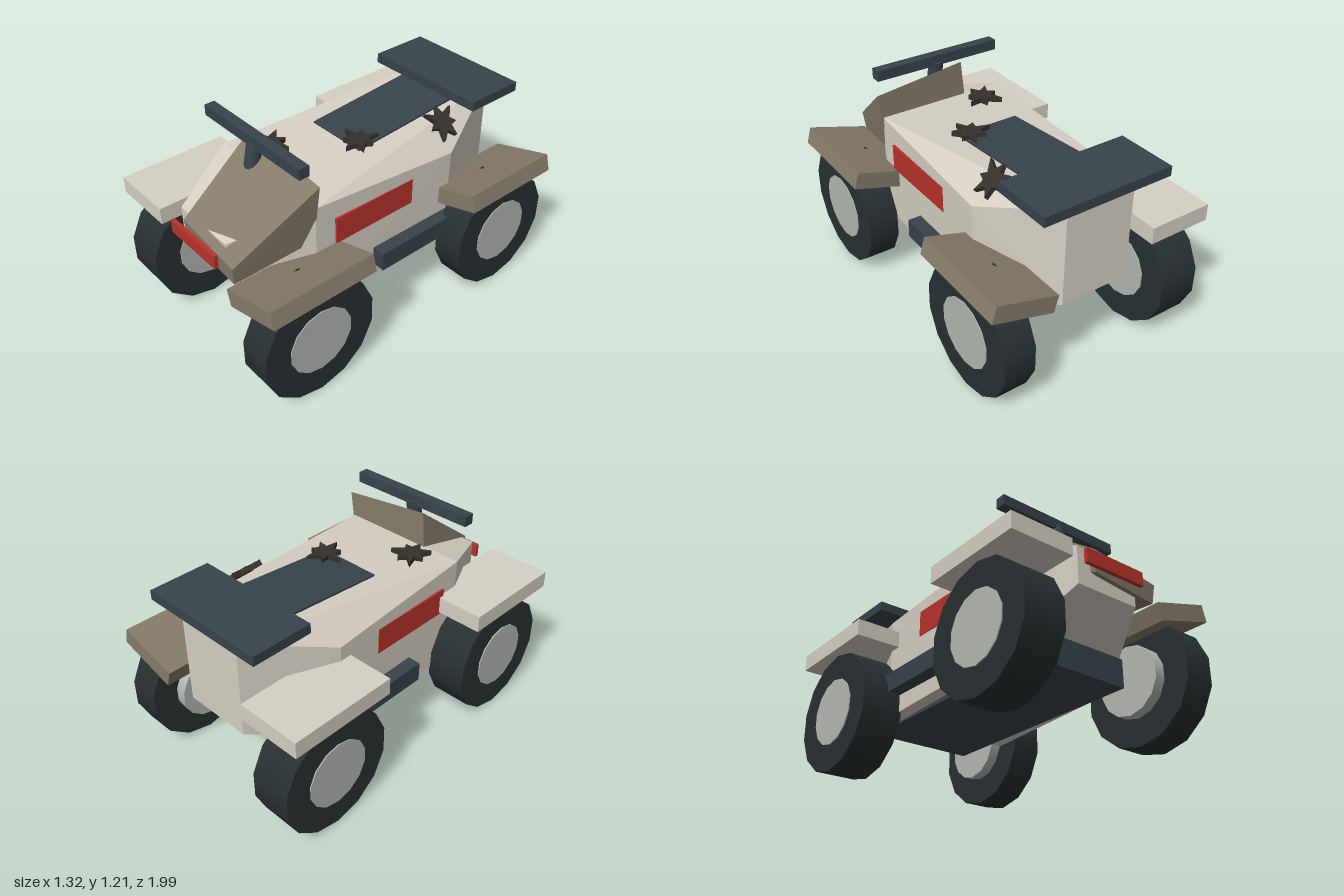
import * as THREE from 'three';
import { ConvexGeometry } from 'three/addons/geometries/ConvexGeometry.js';

const mat = (color) => new THREE.MeshStandardMaterial({ color, flatShading: true });
const pale = mat(0xd6d0c4);
const brown = mat(0x857b6a);
const dark = mat(0x37434a);
const red = mat(0xb8322c);
const soot = mat(0x35322c);
const rubber = new THREE.MeshStandardMaterial({ color: 0x283032 });
const steel = new THREE.MeshStandardMaterial({ color: 0xb4b8b2 });
const post = new THREE.MeshStandardMaterial({ color: 0x37434a });

export function createModel() {
  const model = new THREE.Group();
  model.name = 'quadBuggy';

  const add = (name, geometry, material, x = 0, y = 0, z = 0) => {
    const mesh = new THREE.Mesh(geometry, material);
    mesh.name = name;
    mesh.position.set(x, y, z);
    model.add(mesh);
    return mesh;
  };
  // Box given by its lower and upper limits on each axis
  const box = (name, material, [x0, x1], [y0, y1], [z0, z1]) =>
    add(name, new THREE.BoxGeometry(x1 - x0, y1 - y0, z1 - z0), material,
      (x0 + x1) / 2, (y0 + y1) / 2, (z0 + z1) / 2);
  const hull = (name, material, points) =>
    add(name, new ConvexGeometry(points.map((p) => new THREE.Vector3(...p))), material);

  // Faceted body, mirrored from one side
  const half = [
    [0.2, 0.49, -0.9], [0.2, 1.04, -0.9],
    [0.39, 0.29, -0.42], [0.4, 0.87, -0.42],
    [0.38, 0.325, 0.5], [0.38, 0.94, 0.5],
    [0.193, 0.61, 0.9], [0.193, 0.82, 0.9],
  ];
  hull('body', pale, half.flatMap(([x, y, z]) => [[x, y, z], [-x, y, z]]));
  box('underbody', dark, [-0.31, 0.31], [0.28, 0.44], [-0.68, 0.68]);

  // Hood knocked askew over the nose
  hull('hood', brown, [
    [-0.13, 1.145, 0.495], [0.41, 1.08, 0.495], [-0.158, 0.86, 0.495], [0.36, 0.73, 0.495],
    [-0.11, 0.81, 0.94], [0.3, 0.755, 0.94], [-0.105, 0.69, 0.93], [0.288, 0.65, 0.93],
  ]);
  box('frontLight', red, [-0.193, 0.187], [0.698, 0.776], [0.945, 0.967]);

  // Handlebar on a leaning post
  box('handlebar', dark, [-0.39, 0.38], [1.145, 1.205], [0.53, 0.59]);
  add('steeringPost', new THREE.CylinderGeometry(0.042, 0.042, 0.28, 12), post, -0.005, 1.03, 0.585)
    .rotation.x = -0.2;

  // Seat and rear deck
  add('seat', new THREE.BoxGeometry(0.37, 0.05, 0.82), dark, -0.005, 0.988, -0.365).rotation.x = 0.08;
  box('rearDeck', dark, [-0.382, 0.37], [1.043, 1.097], [-0.95, -0.6]);

  // Side panels and footrests
  for (const side of [-1, 1]) {
    add('sidePanel', new THREE.BoxGeometry(0.03, 0.15, 0.52), red, side * 0.381, 0.75, 0.12);
    add('footrest', new THREE.BoxGeometry(0.12, 0.11, 0.62), dark, side * 0.405, 0.445, -0.19);
  }

  // Wheels and fenders: the +x tires are narrower and its fenders bent up
  const drum = (name, material, r, x0, x1, z) => {
    const geo = new THREE.CylinderGeometry(r, r, x1 - x0, 14, 1, false, Math.PI / 2);
    add(name, geo.rotateZ(Math.PI / 2), material, (x0 + x1) / 2, 0.342, z);
  };
  for (const z of [0.66, -0.66]) {
    drum('tire', rubber, 0.344, -0.612, -0.378, z);
    drum('hub', steel, 0.192, -0.618, -0.373, z);
    drum('tire', rubber, 0.344, 0.426, 0.604, z);
    drum('hub', steel, 0.192, 0.364, 0.609, z);
    add('fender', new THREE.BoxGeometry(0.37, 0.095, 0.62), pale, -0.475, 0.737, z);
    add('bentFender', new THREE.BoxGeometry(0.364, 0.097, 0.62), brown, 0.469, 0.643, z)
      .rotation.z = 0.28;
  }

  // Jagged scorched dents on the top
  const spikes = [0.115, 0.09, 0.12, 0.085, 0.11, 0.1, 0.08];
  const star = new THREE.Shape(spikes.flatMap((r, i) => [[r, i], [0.05, i + 0.5]].map(([rad, k]) => {
    const a = (k / spikes.length) * Math.PI * 2;
    return new THREE.Vector2(rad * Math.cos(a), rad * Math.sin(a));
  })));
  const starGeo = new THREE.ExtrudeGeometry(star, { depth: 0.03, bevelEnabled: false });
  starGeo.translate(0, 0, -0.015).rotateX(-Math.PI / 2);
  const dents = [[-0.18, 0.972, 0.35, 0, 0.4], [0.13, 0.997, 0, 0, 1.3], [0.295, 1.0, -0.45, -0.75, 2.2]];
  for (const [x, y, z, tilt, spin] of dents) {
    add('scorchedDent', starGeo, soot, x, y, z).rotation.set(0, spin, tilt, 'ZYX');
  }
  return model;
}
